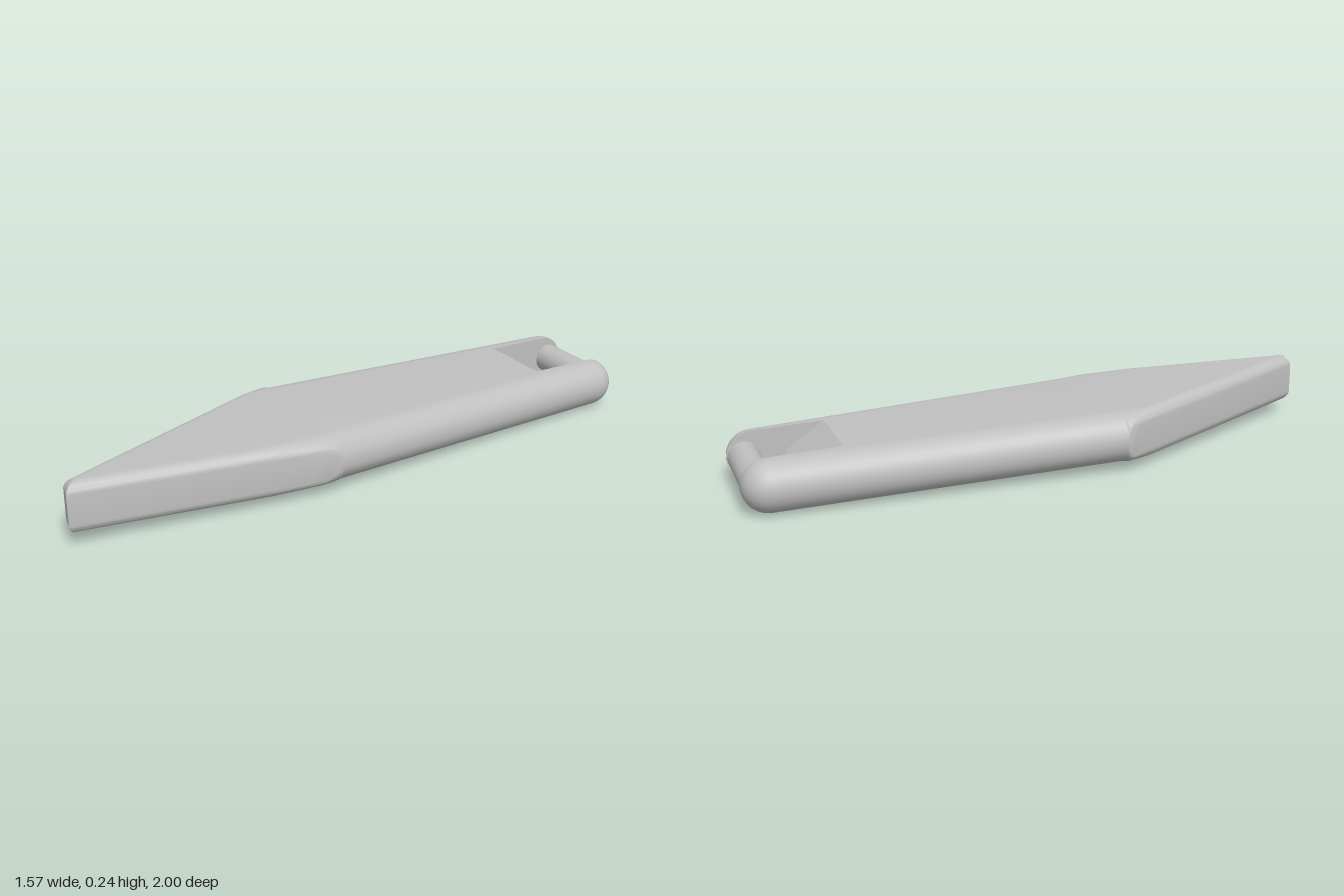
import * as THREE from 'three';
import { toCreasedNormals } from 'three/addons/utils/BufferGeometryUtils.js';

const R = 0.095;                      // half thickness and edge radius
const FILLET = 0.04;                  // smaller edge radius around the point
const SLOT = { left: -0.235, right: 0.055, start: 0.72 };

// Plan of one half, from the point to the slot. x runs along the length, z across it.
// Each row holds a position, its full inset at the flat faces and its vertical edge radius.
function halfOutline(tip, corner, arc, slotZ, m) {
  const rows = [];
  const add = (p, inset, rv = R) => rows.push({ p, inset, rv });
  const dir = tip.clone().sub(corner).normalize();
  const normal = new THREE.Vector2(-dir.y, dir.x).multiplyScalar(-m);
  const turn = Math.abs(normal.x) + 0.05;
  add(tip, normal.clone().sub(dir).multiplyScalar(FILLET), FILLET);
  // flat side of the point, fading into the full round at the corner
  for (const d of [0.27, 0.14, 0.07, 0.03, 0.01, 0]) {
    const n = new THREE.Vector2(0, m).lerp(normal, Math.min(1, d / 0.14)).normalize();
    add(corner.clone().addScaledVector(dir, d),
      n.multiplyScalar(Math.max(FILLET, R - turn * d)),
      Math.max(FILLET, R - Math.sqrt(2 * R * turn * d)));
  }
  // rounded prong end
  for (let i = 0; i <= 8; i++) {
    const a = (i / 8) * Math.PI / 2;
    const o = new THREE.Vector2(Math.sin(a), -m * Math.cos(a)).multiplyScalar(R);
    add(arc.clone().add(o), o.clone().negate());
  }
  // straight slot wall
  add(new THREE.Vector2(arc.x + R, slotZ), new THREE.Vector2(-R, 0));
  add(new THREE.Vector2(SLOT.start, slotZ), new THREE.Vector2());
  return rows;
}

function bodyGeometry() {
  const V = (x, z) => new THREE.Vector2(x, z);
  const rows = [
    ...halfOutline(V(-1.236, 0.017), V(-0.288, -0.398), V(0.985, -0.246), SLOT.left, 1),
    ...halfOutline(V(-1.248, 0.08), V(-0.28, 0.226), V(0.985, 0.06), SLOT.right, -1).reverse(),
  ];
  const n = rows.length, steps = 16, pos = [], index = [];
  for (let j = 0; j <= steps; j++) {
    const a = (j / steps - 0.5) * Math.PI;
    // the middle step also carries the flat band, so it is laid twice
    for (const side of j === steps / 2 ? [-1, 1] : [Math.sign(a)]) {
      for (const { p, inset, rv } of rows) {
        const k = 1 - Math.cos(a);
        pos.push(p.x + inset.x * k, side * (R - rv) + rv * Math.sin(a), p.y + inset.y * k);
      }
    }
  }
  const levels = steps + 2;
  for (let j = 0; j < levels - 1; j++) {
    for (let i = 0; i < n; i++) {
      const a0 = j * n + i, b0 = j * n + (i + 1) % n;
      index.push(b0, a0, a0 + n, b0, a0 + n, b0 + n);
    }
  }
  // flat top and bottom
  const cap = rows.map(({ p, inset }) => V(p.x + inset.x, -p.y - inset.y));
  const top = (levels - 1) * n;
  for (const [a, b, c] of THREE.ShapeUtils.triangulateShape(cap, [])) {
    const ccw = THREE.ShapeUtils.area([cap[a], cap[b], cap[c]]) > 0;
    const [u, v] = ccw ? [b, c] : [c, b];
    index.push(top + a, top + u, top + v, a, v, u);
  }
  const g = new THREE.BufferGeometry();
  g.setAttribute('position', new THREE.Float32BufferAttribute(pos, 3));
  g.setIndex(index);
  return toCreasedNormals(g, 0.5);
}

export function createModel() {
  const grey = new THREE.MeshStandardMaterial({ color: 0xc0c0c0 });
  grey.name = 'light grey';
  const model = new THREE.Group();
  model.name = 'pointedTag';

  // everything is built level, then turned and tipped slightly
  const tag = new THREE.Group();
  tag.name = 'tag';
  tag.rotation.set(0, Math.atan2(0.76, 0.65), -0.0245);
  tag.position.y = 0.12;
  model.add(tag);

  const add = (name, geometry) => {
    const mesh = new THREE.Mesh(geometry, grey);
    mesh.name = name;
    tag.add(mesh);
    return mesh;
  };

  add('body', bodyGeometry());

  // wedge closing the inner end of the slot
  const width = SLOT.right - SLOT.left;
  const wedge = new THREE.Shape([
    new THREE.Vector2(SLOT.start, -R),
    new THREE.Vector2(0.869, 0),
    new THREE.Vector2(SLOT.start, R),
  ]);
  add('slotWedge', new THREE.ExtrudeGeometry(wedge, { depth: width, bevelEnabled: false }))
    .position.z = SLOT.left;

  // round bar between the prongs
  const bar = add('crossBar', new THREE.CylinderGeometry(0.058, 0.058, width, 32).rotateX(Math.PI / 2));
  bar.position.set(1.018, 0, (SLOT.left + SLOT.right) / 2);

  return model;
}
